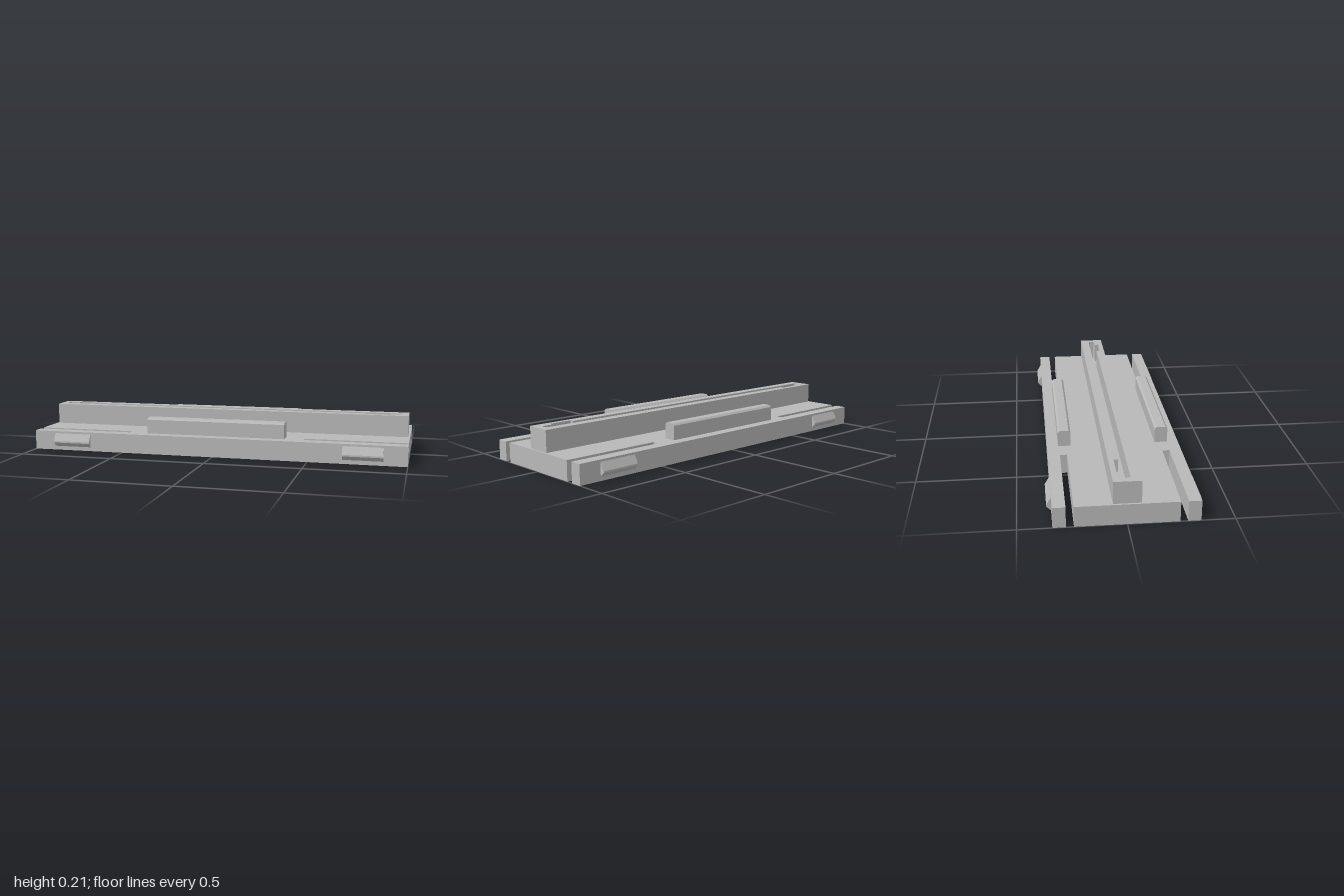
import * as THREE from 'three';

const toPoints = (list) => list.map(([a, b]) => new THREE.Vector2(a, b));

// Plan outline in (x, z), filled from height y0 up to y1
function planSolid(outline, y0, y1, holes = []) {
  const shape = new THREE.Shape(toPoints(outline));
  holes.forEach((h) => shape.holes.push(new THREE.Path(toPoints(h))));
  return new THREE.ExtrudeGeometry(shape, { depth: y1 - y0, bevelEnabled: false })
    .rotateX(Math.PI / 2)
    .translate(0, y1, 0);
}

// Profile in (z, y), swept along x and centred on x = 0
function sweptBar(profile, length) {
  const shape = new THREE.Shape(toPoints(profile.map(([z, y]) => [-z, y])));
  return new THREE.ExtrudeGeometry(shape, { depth: length, bevelEnabled: false })
    .rotateY(Math.PI / 2)
    .translate(-length / 2, 0, 0);
}

export function createModel() {
  const group = new THREE.Group();
  const grey = new THREE.MeshStandardMaterial({ color: 0xb8b8b8 });
  grey.name = 'grey';
  const add = (name, geometry, x = 0) => {
    const mesh = new THREE.Mesh(geometry, grey);
    mesh.name = name;
    mesh.position.x = x;
    group.add(mesh);
  };

  // Base plate with two open slots in each end, leaving springy arms
  const W = 0.34, inner = 0.243, outer = 0.279, slot = 0.475;
  const end = [
    [1, -W], [1, -outer], [slot, -outer], [slot, -inner], [1, -inner],
    [1, inner], [slot, inner], [slot, outer], [1, outer], [1, W],
  ];
  const plate = [...end, ...end.map(([x, z]) => [-x, -z])];
  add('basePlate', planSolid(plate, 0, 0.102));

  // Central rail with a long groove and two offset notches
  const c = 0.008, g = 0.018, n = 0.04, gx = 0.955;
  const grooveHalf = [
    [gx - c, -g], [gx, -g + c], [gx, g - c], [gx - c, g],
    [0.895, g], [0.895, n], [0.772, n], [0.772, g],
  ];
  const groove = [...grooveHalf, ...grooveHalf.map(([x, z]) => [-x, -z])];
  const rail = [[-0.99, -0.066], [0.99, -0.066], [0.99, 0.066], [-0.99, 0.066]];
  add('centreRail', planSolid(rail, 0.102, 0.213, [groove]));

  for (const s of [1, -1]) {
    const side = s > 0 ? 'front' : 'back';

    // Chamfered side rail
    const bar = [
      [0.218, 0.102], [0.284, 0.102], [0.284, 0.176],
      [0.274, 0.186], [0.228, 0.186], [0.218, 0.176],
    ];
    add(side + 'SideRail', sweptBar(bar.map(([z, y]) => [s * z, y]), 0.744));

    // Wedge-shaped snap catches on the arms
    const wedge = [[W, 0.021], [0.363, 0.043], [0.363, 0.051], [W, 0.091]];
    for (const x of [-0.78, 0.78]) {
      add(side + (x > 0 ? 'Left' : 'Right') + 'Catch',
        sweptBar(wedge.map(([z, y]) => [s * z, y]), 0.204), x);
    }
  }
  return group;
}
